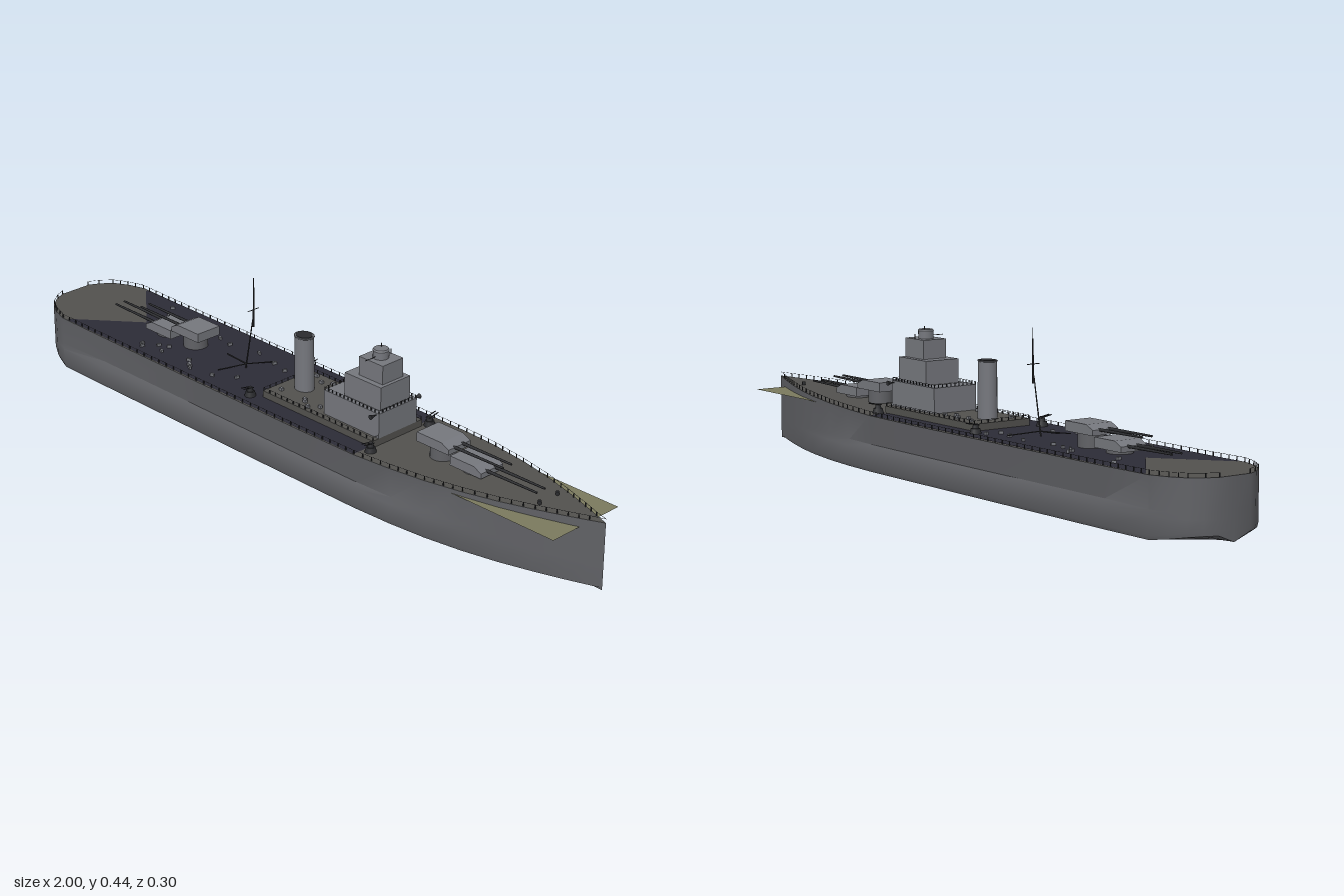
import * as THREE from 'three';
import { mergeGeometries, toCreasedNormals } from 'three/addons/utils/BufferGeometryUtils.js';

const mat = (name, color, side = THREE.FrontSide) => {
  const m = new THREE.MeshStandardMaterial({ color, side });
  m.name = name;
  return m;
};

// Hull stations: [x, half width at the deck]
const STATIONS = [[-1, 0], [-1, 0.05], [-0.985, 0.08], [-0.96, 0.112], [-0.92, 0.135], [-0.87, 0.152], [-0.7, 0.152],
  [-0.3, 0.152], [0.1, 0.152], [0.3, 0.151], [0.42, 0.145], [0.53, 0.134], [0.64, 0.115], [0.74, 0.091],
  [0.83, 0.063], [0.91, 0.035], [0.96, 0.016], [1, 0]];

const halfWidth = (x) => {
  for (let i = 2; i < STATIONS.length; i++) {
    const [x0, w0] = STATIONS[i - 1], [x1, w1] = STATIONS[i];
    if (x <= x1) return w0 + (w1 - w0) * (x - x0) / (x1 - x0);
  }
  return 0;
};
const deckY = (x) => 0.165 + 0.025 * Math.max(0, (x - 0.25) / 0.75) + 0.004 * Math.max(0, (-0.6 - x) / 0.4);

// Skin a row of open cross-sections
function loft(rings) {
  const n = rings[0].length, index = [];
  for (let i = 0; i < rings.length - 1; i++) {
    for (let j = 0; j < n - 1; j++) {
      const a = i * n + j, b = a + 1, c = a + n, d = c + 1;
      index.push(a, b, c, b, d, c);
    }
  }
  const g = new THREE.BufferGeometry();
  g.setAttribute('position', new THREE.Float32BufferAttribute(rings.flat(2), 3));
  g.setIndex(index);
  g.computeVertexNormals();
  return g;
}

// Section with flared topsides and a side bulge that fades toward the ends
function hullRing([x, w]) {
  const fade = THREE.MathUtils.smoothstep(0.7 - x, 0, 0.3) * THREE.MathUtils.smoothstep(x, -0.95, -0.7);
  const stern = THREE.MathUtils.smoothstep(-x, 0.85, 1) * 0.02;
  const rise = 0.01 * THREE.MathUtils.smoothstep(x, 0.6, 1) + stern;
  const side = [[w, deckY(x)], [w * (1 - 0.06 * fade), 0.086], [w, 0.07], [w, 0.022 + stern],
    [w * 0.97, 0.012 + stern]];
  return [...side.map(([z, y]) => [x, y, z]), [x, rise * 0.6, 0], ...side.reverse().map(([z, y]) => [x, y, -z])];
}

export function createModel() {
  const ship = new THREE.Group();
  ship.name = 'warship';
  const hullGrey = mat('hull grey', 0x606165);
  const upperGrey = mat('superstructure grey', 0x75777d);
  const deckGrey = mat('deck grey', 0x52514e, THREE.DoubleSide);
  const navy = mat('dark deck', 0x2c2b36, THREE.DoubleSide);
  const olive = mat('olive plate', 0x7b7a5e, THREE.DoubleSide);
  const dark = mat('dark fittings', 0x2b2c2f);

  const add = (name, geo, material, x = 0, y = 0, z = 0, parent = ship) => {
    const m = new THREE.Mesh(geo, material);
    m.name = name;
    m.position.set(x, y, z);
    parent.add(m);
    return m;
  };
  // Box given by its limits
  const block = (name, x0, x1, y0, y1, hz, material, parent = ship) =>
    add(name, new THREE.BoxGeometry(x1 - x0, y1 - y0, 2 * hz), material, (x0 + x1) / 2, (y0 + y1) / 2, 0, parent);
  // Thin round bar between two points
  const bar = (p, q, r0, r1 = r0, sides = 6) => {
    const a = new THREE.Vector3(...p), d = new THREE.Vector3(...q).sub(a);
    const g = new THREE.CylinderGeometry(r1, r0, d.length(), sides);
    g.applyQuaternion(new THREE.Quaternion().setFromUnitVectors(new THREE.Vector3(0, 1, 0), d.clone().normalize()));
    return g.translate(...a.addScaledVector(d, 0.5).toArray());
  };

  // Hull and decks
  add('hull', toCreasedNormals(loft(STATIONS.map(hullRing)), 0.6), hullGrey);
  add('deck', loft(STATIONS.map(([x, w]) => [[x, deckY(x), -w], [x, deckY(x), w]])), deckGrey);
  const aft = new THREE.Shape([[-0.86, -0.15], [0.3, -0.15], [0.3, 0.15], [-0.86, 0.15], [-0.68, 0]]
    .map(([x, z]) => new THREE.Vector2(x, z)));
  add('aftDeck', new THREE.ShapeGeometry(aft).rotateX(-Math.PI / 2), navy, 0, 0.1675);
  add('bowPlate', new THREE.PlaneGeometry(0.44, 0.24).rotateX(-Math.PI / 2), olive, 0.72, 0.165);

  // Railings: posts with a handrail along a path
  const railing = (name, path, h, gap) => {
    const parts = [];
    for (let i = 0; i < path.length - 1; i++) {
      const a = new THREE.Vector3(...path[i]), b = new THREE.Vector3(...path[i + 1]);
      const n = Math.max(1, Math.round(a.distanceTo(b) / gap));
      for (let k = 0; k < n; k++) {
        const p = a.clone().lerp(b, k / n);
        parts.push(new THREE.BoxGeometry(0.0022, h, 0.0022).translate(p.x, p.y + h / 2, p.z));
      }
      a.y += h; b.y += h;
      parts.push(bar(a.toArray(), b.toArray(), 0.0005, 0.0005, 4));
    }
    add(name, mergeGeometries(parts), dark);
  };
  for (const s of [1, -1]) {
    const path = STATIONS.slice(1).map(([x, w]) => [x, deckY(x), s * Math.max(0, w - 0.003)]);
    railing(s > 0 ? 'rightDeckRail' : 'leftDeckRail', path, 0.011, 0.03);
  }
  const loop = (x0, x1, y, z) => [[x0, y, z], [x1, y, z], [x1, y, -z], [x0, y, -z], [x0, y, z]];

  // Superstructure tiers
  block('platform', -0.1, 0.31, 0.16, 0.186, 0.09, deckGrey);
  railing('platformRail', loop(-0.098, 0.308, 0.186, 0.088), 0.009, 0.022);
  block('lowerTier', 0.11, 0.31, 0.186, 0.255, 0.069, upperGrey);
  railing('tierRail', loop(0.112, 0.308, 0.255, 0.067), 0.008, 0.014);
  block('middleTier', 0.17, 0.3, 0.255, 0.32, 0.053, upperGrey);
  block('upperTier', 0.205, 0.29, 0.32, 0.372, 0.037, upperGrey);
  add('director', new THREE.CylinderGeometry(0.021, 0.021, 0.022, 16), upperGrey, 0.247, 0.383);
  add('directorCap', new THREE.CylinderGeometry(0.019, 0.022, 0.004, 16), upperGrey, 0.247, 0.395);
  add('directorArm', bar([0.247, 0.379, 0.018], [0.247, 0.379, 0.057], 0.001), dark);
  add('bridgeLamps', mergeGeometries([bar([0.24, 0.395, -0.009], [0.24, 0.406, -0.009], 0.0015),
    bar([0.25, 0.372, -0.033], [0.25, 0.385, -0.033], 0.0015)]), dark);

  // Funnel with a dark mouth
  const funnel = new THREE.Group();
  funnel.name = 'funnel';
  funnel.position.set(-0.035, 0, 0);
  funnel.scale.z = 0.85;
  ship.add(funnel);
  add('funnelBody', new THREE.CylinderGeometry(0.028, 0.029, 0.155, 20), upperGrey, 0, 0.2625, 0, funnel);
  add('funnelRim', new THREE.TorusGeometry(0.028, 0.002, 6, 20).rotateX(Math.PI / 2), upperGrey, 0, 0.339, 0, funnel);
  add('funnelMouth', new THREE.CylinderGeometry(0.024, 0.024, 0.002, 20), dark, 0, 0.3405, 0, funnel);

  // Mast with sloping leg, yard and boom
  add('mast', mergeGeometries([
    bar([-0.265, 0.166, 0], [-0.235, 0.32, 0], 0.0022, 0.0015),
    bar([-0.232, 0.3, 0], [-0.23, 0.415, 0], 0.0028, 0.0018),
    bar([-0.23, 0.415, 0], [-0.23, 0.443, 0], 0.001),
    bar([-0.232, 0.35, -0.02], [-0.232, 0.35, 0.02], 0.0012),
    bar([-0.34, 0.184, 0], [-0.262, 0.18, 0], 0.002),
    bar([-0.262, 0.18, 0], [-0.3, 0.172, 0.07], 0.0015),
    bar([-0.262, 0.18, 0], [-0.23, 0.172, -0.08], 0.0015)]), dark);

  // Main turrets: [name, rear x, base y, direction, length]
  const turret = (name, x, y, dir, len, base) => {
    const g = new THREE.Group();
    g.name = name;
    g.position.set(x, y, 0);
    if (dir < 0) g.rotation.y = Math.PI;
    ship.add(g);
    const side = new THREE.Shape([[0, 0], [len, 0], [len, 0.014], [len - 0.025, 0.026], [0, 0.026]]
      .map((p) => new THREE.Vector2(...p)));
    const body = new THREE.ExtrudeGeometry(side, { depth: 0.08, bevelEnabled: false });
    add('gunhouse', body.translate(0, 0, -0.04), upperGrey, 0, 0, 0, g);
    add('barbette', new THREE.CylinderGeometry(0.034, 0.034, y - base, 20), hullGrey, len / 2, (base - y) / 2, 0, g);
    for (const z of [-0.015, 0.015]) {
      add('barrel', bar([len - 0.02, 0.013, z], [len + 0.16, 0.015, z], 0.0045, 0.0028, 8), dark, 0, 0, 0, g);
    }
  };
  turret('upperForwardTurret', 0.415, 0.208, 1, 0.11, 0.165);
  turret('lowerForwardTurret', 0.53, 0.183, 1, 0.105, 0.17);
  turret('upperAftTurret', -0.415, 0.204, -1, 0.11, 0.165);
  turret('lowerAftTurret', -0.53, 0.177, -1, 0.105, 0.165);

  // Secondary guns and side lamps
  for (const s of [1, -1]) {
    for (const x of [-0.13, 0.32]) {
      add('secondaryGun', mergeGeometries([
        new THREE.CylinderGeometry(0.012, 0.016, 0.014, 10).translate(x, 0.174, s * 0.108),
        new THREE.CylinderGeometry(0.006, 0.009, 0.014, 10).translate(x, 0.186, s * 0.108),
        bar([x - 0.005, 0.19, s * 0.1], [x - 0.005, 0.196, s * 0.135], 0.0015),
        bar([x + 0.005, 0.19, s * 0.1], [x + 0.005, 0.196, s * 0.135], 0.0015)]), dark);
    }
    add('sideLamp', mergeGeometries([bar([0.3, 0.25, s * 0.066], [0.3, 0.25, s * 0.08], 0.0015),
      bar([0.3, 0.25, s * 0.076], [0.3, 0.25, s * 0.09], 0.002, 0.007, 10)]), dark);
  }

  // Small vents and bollards scattered by a seeded sequence
  let seed = 7;
  const rnd = () => (seed = (seed * 16807) % 2147483647) / 2147483647;
  const bits = [];
  for (let i = 0; i < 22; i++) {
    const x = -0.7 + rnd() * 0.58, z = (i % 2 ? 1 : -1) * (0.055 + rnd() * 0.065);
    bits.push(new THREE.BoxGeometry(0.012, 0.008, 0.006).rotateY(rnd() * 3).translate(x, 0.171, z));
  }
  for (let i = 0; i < 10; i++) {
    const x = -0.08 + rnd() * 0.17, z = (i % 2 ? 1 : -1) * (0.035 + rnd() * 0.045);
    bits.push(new THREE.BoxGeometry(0.01, 0.008, 0.008).translate(x, 0.19, z));
  }
  add('deckFittings', mergeGeometries(bits), upperGrey);
  // Bow bollards beside the anchor gear
  for (const s of [1, -1]) {
    const x = 0.82, z = s * halfWidth(x) * 0.5;
    add('bollard', new THREE.CylinderGeometry(0.005, 0.005, 0.01, 8), dark, x, deckY(x) + 0.005, z);
  }
  return ship;
}
